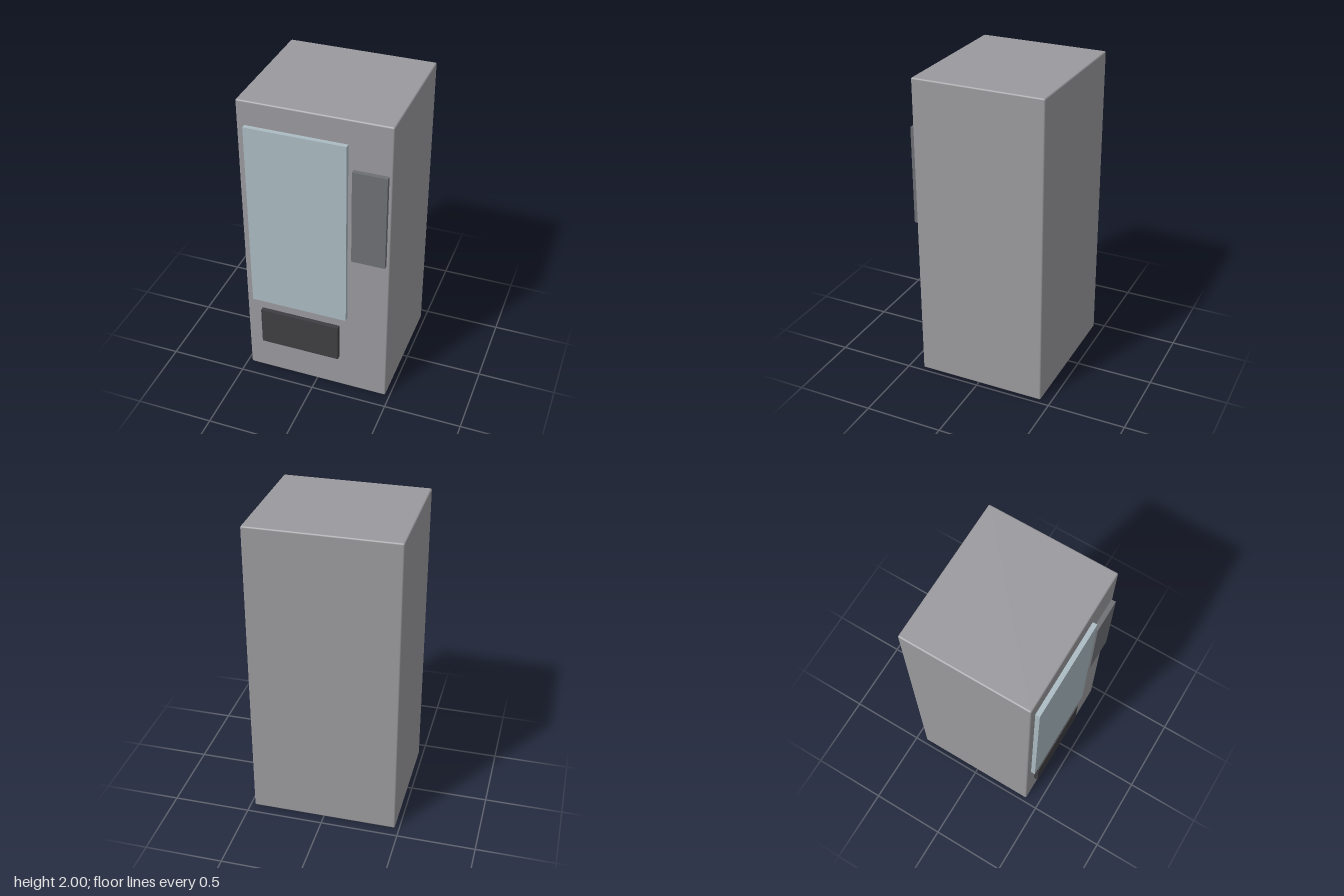
import * as THREE from 'three';
import { RoundedBoxGeometry } from 'three/addons/geometries/RoundedBoxGeometry.js';

export function createModel() {
  const group = new THREE.Group();
  group.name = 'vendingMachine';

  const material = (name, color) => {
    const m = new THREE.MeshStandardMaterial({ color });
    m.name = name;
    return m;
  };
  const add = (name, geometry, mat, x, y, z) => {
    const mesh = new THREE.Mesh(geometry, mat);
    mesh.name = name;
    mesh.position.set(x, y, z);
    group.add(mesh);
  };

  // Cabinet with slightly softened edges
  const back = -0.433, front = 0.404, width = 0.944;
  add('cabinet', new RoundedBoxGeometry(width, 2, front - back, 2, 0.01),
    material('cabinetGrey', 0x9a9a9e), 0, 1, (front + back) / 2);

  // Raised panels on the front, set a little into the cabinet
  const panelBack = front - 0.015, panelFront = 0.433;
  const addPanel = (name, x0, x1, y0, y1, mat) => add(name,
    new THREE.BoxGeometry(x1 - x0, y1 - y0, panelFront - panelBack), mat,
    (x0 + x1) / 2, (y0 + y1) / 2, (panelFront + panelBack) / 2);

  addPanel('displayWindow', -0.422, 0.208, 0.582, 1.843, material('paleGlass', 0xabbbc3));
  addPanel('controlPanel', 0.24, 0.451, 1.058, 1.685, material('darkGrey', 0x6e6f74));
  addPanel('dispensingTray', -0.37, 0.155, 0.242, 0.503, material('charcoal', 0x3f3e42));

  return group;
}
